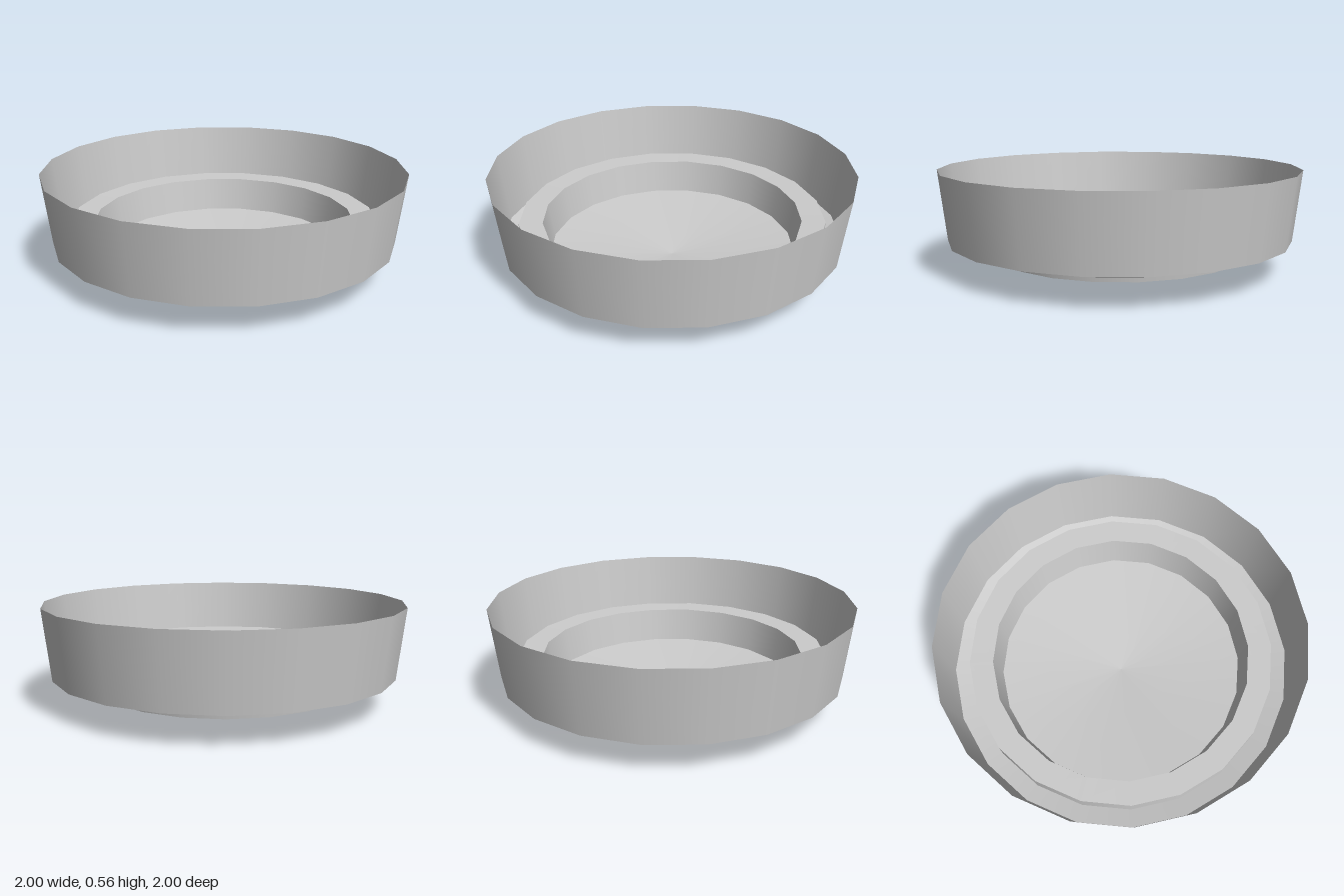
import * as THREE from 'three';

const SIDES = 20;

export function createModel() {
  const model = new THREE.Group();
  model.name = 'dish';
  const material = new THREE.MeshStandardMaterial({ color: 0xcccccc, side: THREE.DoubleSide });

  // Thin bands of revolution: name, lower/inner [radius, y], upper/outer [radius, y].
  // Each band is its own lathe, so it is smooth around and sharp at its edges.
  const bands = [
    ['floorCone', [0, 0], [0.695, 0.073]],
    ['wellWall', [0.695, 0.073], [0.725, 0.268]],
    ['ledge', [0.725, 0.268], [0.855, 0.272]],
    ['grooveWall', [0.855, 0.272], [0.855, 0.138]],
    ['grooveFloor', [0.855, 0.138], [0.955, 0.165]],
    ['outerWall', [0.955, 0.165], [1, 0.555]],
  ];
  for (const [name, a, b] of bands) {
    const profile = [new THREE.Vector2(...a), new THREE.Vector2(...b)];
    const band = new THREE.Mesh(new THREE.LatheGeometry(profile, SIDES), material);
    band.name = name;
    model.add(band);
  }
  return model;
}
